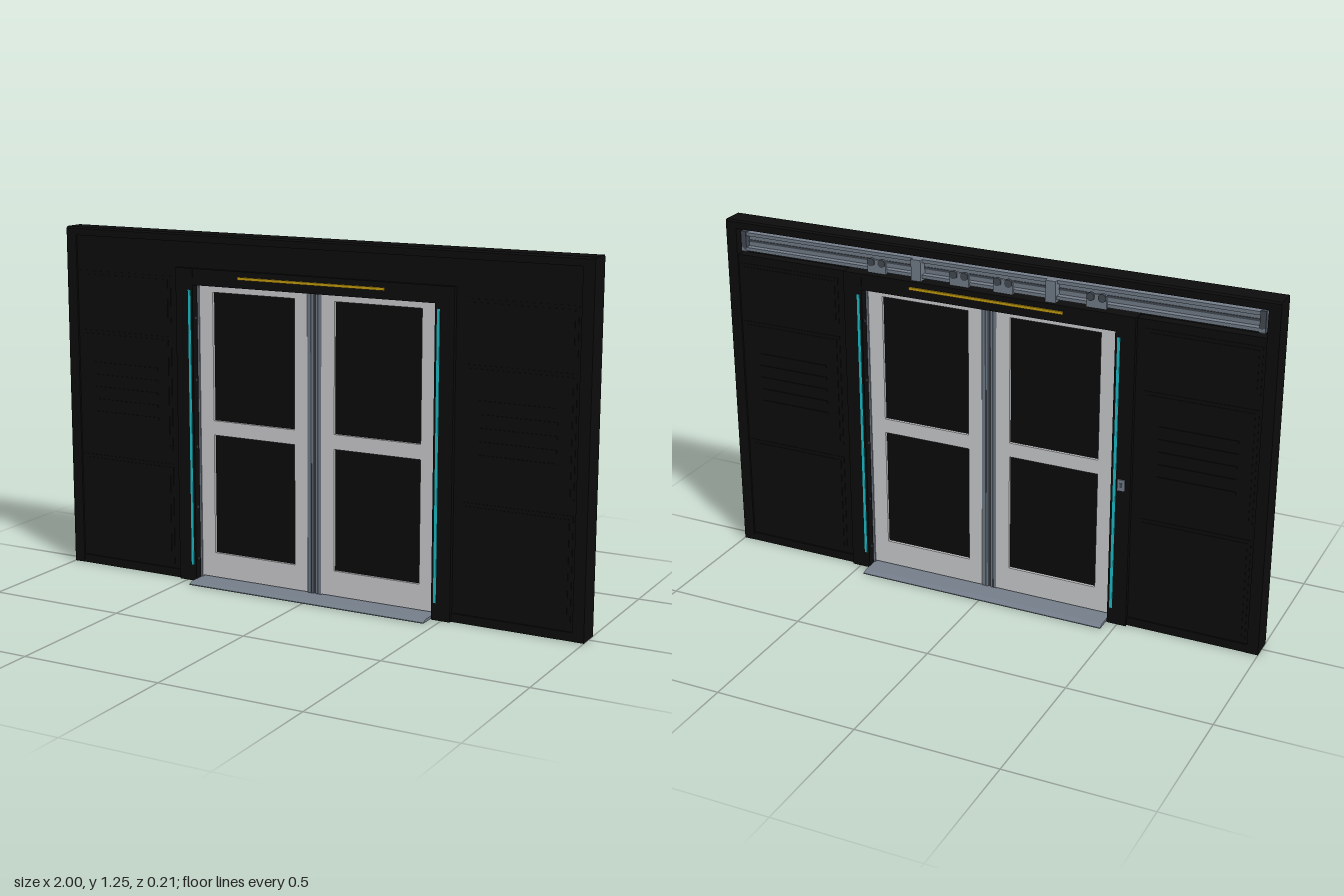
import * as THREE from 'three';

const mat = (name, color, extra = {}) => {
  const m = new THREE.MeshStandardMaterial({ color, ...extra });
  m.name = name;
  return m;
};

export function createModel() {
  const black = mat('wall black', 0x0d0d0d);
  const glassMat = mat('dark glass', 0x0a0b0c);
  const white = mat('door white', 0xcfd0d3);
  const grey = mat('metal grey', 0x747e8a);
  const darkGrey = mat('seal dark grey', 0x444b54);
  const cyan = mat('light strip cyan', 0x1cc0cc);
  const yellow = mat('light strip yellow', 0xc9a00f);

  const model = new THREE.Group();
  model.name = 'slidingDoorWall';
  const group = (name) => {
    const g = new THREE.Group();
    g.name = name;
    model.add(g);
    return g;
  };

  // Box given by its minimum and maximum on each axis
  const box = (parent, name, m, x0, x1, y0, y1, z0, z1) => {
    const mesh = new THREE.Mesh(new THREE.BoxGeometry(x1 - x0, y1 - y0, z1 - z0), m);
    mesh.position.set((x0 + x1) / 2, (y0 + y1) / 2, (z0 + z1) / 2);
    mesh.name = name;
    parent.add(mesh);
    return mesh;
  };
  // Box repeated on the left and right
  const pair = (parent, name, m, x0, x1, y0, y1, z0, z1) => {
    box(parent, name + 'Left', m, x0, x1, y0, y1, z0, z1);
    box(parent, name + 'Right', m, -x1, -x0, y0, y1, z0, z1);
  };
  // Cross-section in z and y, extruded along x
  const profileX = (parent, name, m, pts, length) => {
    const geo = new THREE.ExtrudeGeometry(new THREE.Shape(pts.map(([z, y]) => new THREE.Vector2(-z, y))),
      { depth: length, bevelEnabled: false });
    geo.translate(0, 0, -length / 2).rotateY(Math.PI / 2).rotateY(Math.PI);
    const mesh = new THREE.Mesh(geo, m);
    mesh.name = name;
    // profile z is mirrored by the half turn, so turn it back
    mesh.rotation.y = Math.PI;
    parent.add(mesh);
  };

  // Wall: pocket sides, lintel with open track bay at the back, edge frame
  const wall = group('wall');
  pair(wall, 'pocketWall', black, 0.5, 0.97, 0.01, 1.12, -0.036, 0.036);
  box(wall, 'lintel', black, -0.53, 0.53, 1.065, 1.12, -0.036, 0.036);
  box(wall, 'lintelFront', black, -0.97, 0.97, 1.11, 1.225, 0, 0.036);
  pair(wall, 'edgePost', black, 0.96, 1, 0, 1.235, -0.043, 0.043);
  profileX(wall, 'topCap', black, [[-0.043, 1.215], [0.043, 1.215], [0.043, 1.239],
    [0.037, 1.245], [-0.037, 1.245], [-0.043, 1.239]], 2);
  pair(wall, 'baseRail', black, 0.5, 0.97, 0, 0.03, -0.042, 0.042);
  pair(wall, 'floorTrack', darkGrey, 0.53, 0.96, 0, 0.008, -0.012, 0.012);

  // Raised wall panels and vent slats on both faces
  const panels = group('wallPanels');
  for (const s of [1, -1]) {
    const layer = (name, x0, x1, y0, y1, d) => {
      const z = [s * 0.035, s * (0.036 + d)].sort((a, b) => a - b);
      pair(panels, name, black, x0, x1, y0, y1, z[0], z[1]);
    };
    for (const [y0, y1] of [[0.045, 0.415], [0.465, 0.875], [0.925, 1.09]]) {
      layer('panelRim', 0.563, 0.95, y0, y1, 0.002);
      layer('panelFace', 0.575, 0.938, y0 + 0.012, y1 - 0.012, 0.004);
    }
    for (let i = 0; i < 5; i++) layer('ventSlat', 0.62, 0.89, 0.57 + i * 0.045, 0.58 + i * 0.045, 0.007);
  }

  // Door surround
  const surround = group('doorSurround');
  pair(surround, 'jamb', black, 0.463, 0.532, 0, 1.125, -0.052, 0.052);
  box(surround, 'header', black, -0.47, 0.47, 1.067, 1.125, -0.05, 0.05);
  pair(surround, 'jambTrim', grey, 0.456, 0.464, 0.01, 1.066, -0.022, 0.022);
  for (const y of [0.08, 0.27, 0.49, 0.73, 0.95]) {
    for (const s of [1, -1]) for (const z of [0.036, -0.036]) {
      const bolt = new THREE.Mesh(new THREE.CylinderGeometry(0.006, 0.006, 0.004, 10), darkGrey);
      bolt.rotation.z = Math.PI / 2;
      bolt.position.set(s * 0.462, y, z);
      bolt.name = 'jambBolt';
      surround.add(bolt);
    }
  }

  // Light strips on both faces
  const lights = group('lightStrips');
  for (const z of [0.052, -0.052]) {
    pair(lights, 'sideLight', cyan, 0.471, 0.481, 0.06, 1.05, z - 0.002, z + 0.002);
    box(lights, 'headerLight', yellow, -0.28, 0.28, 1.096, 1.106, z - 0.003, z + 0.003);
  }

  // Two door leaves
  const doors = group('doorLeaves');
  const d = 0.018;
  pair(doors, 'outerStile', white, 0.402, 0.457, 0.015, 1.065, -d, d);
  pair(doors, 'innerStile', white, 0.027, 0.077, 0.015, 1.065, -d, d);
  for (const [y0, y1] of [[0.015, 0.105], [0.535, 0.587], [1.042, 1.065]])
    pair(doors, 'doorRail', white, 0.077, 0.402, y0, y1, -d, d);
  pair(doors, 'glass', glassMat, 0.075, 0.404, 0.1, 1.045, -0.008, 0.008);
  pair(doors, 'meetingSeal', grey, 0.004, 0.027, 0.012, 1.065, -0.016, 0.016);
  box(doors, 'sealGap', darkGrey, -0.004, 0.004, 0.012, 1.065, -0.01, 0.01);
  pair(doors, 'sealGroove', darkGrey, 0.011, 0.016, 0.014, 1.064, -0.017, 0.017);

  // Threshold plate with sloped edges
  profileX(group('threshold'), 'thresholdPlate', grey, [[-0.105, 0], [0.105, 0], [0.105, 0.003],
    [0.085, 0.01], [-0.085, 0.01], [-0.105, 0.003]], 0.92);

  // Hanging track and rollers in the back bay
  const track = group('hangingTrack');
  box(track, 'trackBack', grey, -0.95, 0.95, 1.135, 1.2, -0.008, 0.002);
  box(track, 'upperRail', grey, -0.95, 0.95, 1.188, 1.2, -0.026, -0.006);
  box(track, 'lowerRail', grey, -0.95, 0.95, 1.135, 1.147, -0.03, -0.006);
  box(track, 'trackGroove', darkGrey, -0.95, 0.95, 1.162, 1.17, -0.011, -0.006);
  for (const x of [0.41, 0.1, -0.06, -0.39]) {
    box(track, 'hangerPlate', grey, x - 0.035, x + 0.035, 1.13, 1.178, -0.038, -0.028);
    for (const dx of [-0.02, 0.02]) {
      const roller = new THREE.Mesh(new THREE.CylinderGeometry(0.014, 0.014, 0.012, 16), darkGrey);
      roller.rotation.x = Math.PI / 2;
      roller.position.set(x + dx, 1.168, -0.036);
      roller.name = 'roller';
      track.add(roller);
    }
  }
  for (const x of [0.26, -0.23])
    box(track, 'trackBracket', grey, x - 0.018, x + 0.018, 1.126, 1.2, -0.04, -0.006);
  for (const x of [0.94, -0.94])
    box(track, 'trackEndStop', darkGrey, x - 0.01, x + 0.01, 1.13, 1.205, -0.03, 0);

  // Key switch on the back of the right jamb
  const lock = group('keySwitch');
  box(lock, 'switchPlate', grey, -0.513, -0.488, 0.51, 0.55, -0.056, -0.051);
  box(lock, 'switchSlot', darkGrey, -0.505, -0.496, 0.522, 0.538, -0.058, -0.055);

  return model;
}
